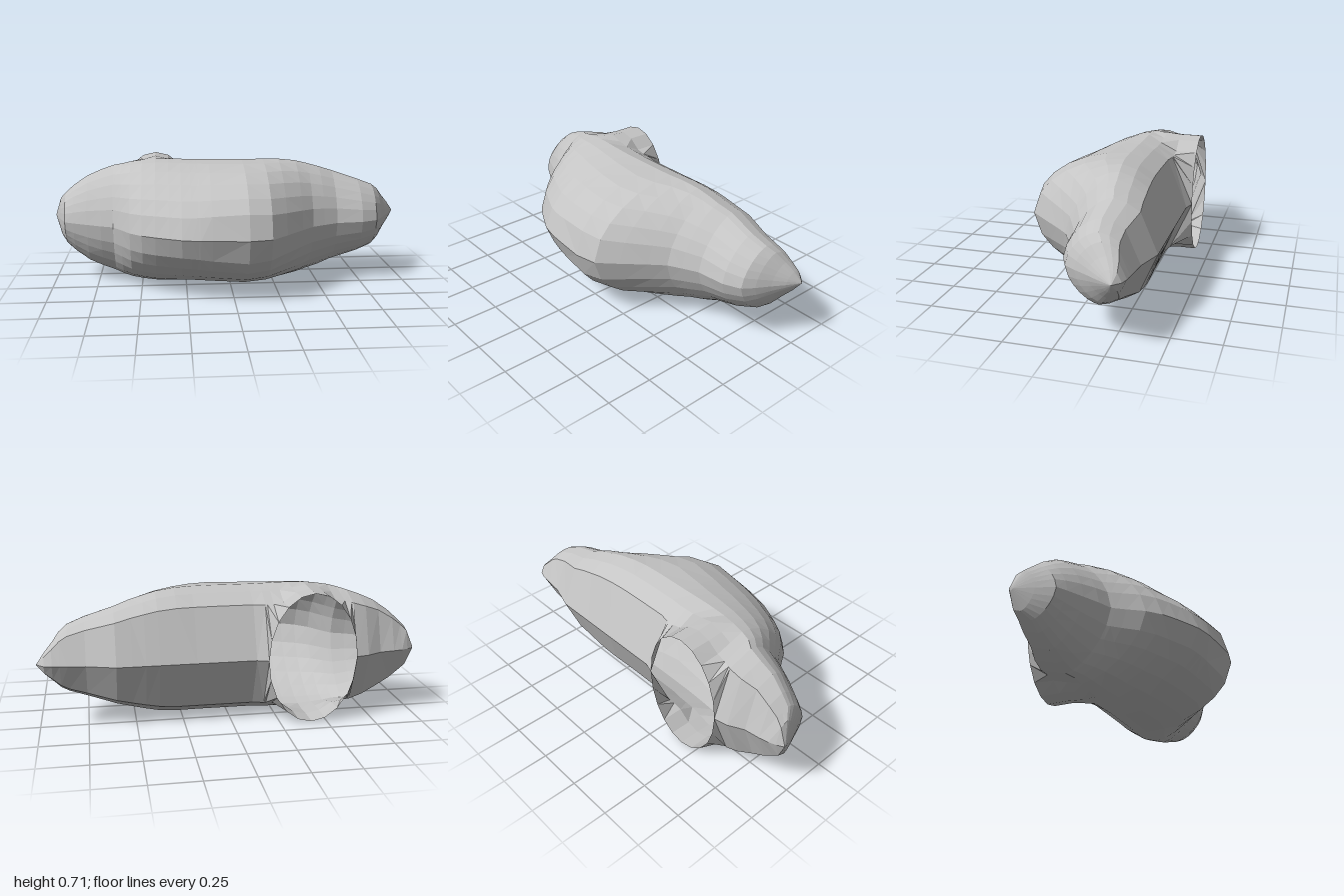
import * as THREE from 'three';

const MID = 0.357; // height of the symmetry plane

// Outline stations: [x, front z, back z, half height]
const STATIONS = [
  [-1, -0.29, -0.31, 0.01], [-0.965, -0.19, -0.328, 0.11], [-0.93, -0.096, -0.342, 0.15],
  [-0.88, -0.065, -0.353, 0.195], [-0.8, -0.022, -0.364, 0.25], [-0.72, 0.02, -0.405, 0.285],
  [-0.65, 0.05, -0.42, 0.31], [-0.6, 0.12, -0.42, 0.323], [-0.53, 0.23, -0.42, 0.34],
  [-0.4, 0.31, -0.42, 0.352], [-0.27, 0.374, -0.42, 0.349], [-0.18, 0.393, -0.42, 0.346],
  [-0.12, 0.4, -0.4, 0.345], [0.07, 0.417, -0.4, 0.345], [0.19, 0.393, -0.4, 0.344],
  [0.28, 0.3, -0.4, 0.342], [0.38, 0.192, -0.4, 0.33], [0.45, 0.121, -0.4, 0.312],
  [0.52, 0.083, -0.4, 0.292], [0.6, 0.043, -0.4, 0.265], [0.75, 0.027, -0.353, 0.215],
  [0.84, -0.012, -0.343, 0.18], [0.88, -0.07, -0.337, 0.15], [0.92, -0.14, -0.332, 0.1],
  [0.96, -0.205, -0.32, 0.055], [1, -0.28, -0.28, 0],
];
const HOLE = { x: -0.415, rx: 0.235, ry: 0.347 };

// Interpolated station at any x
function stationAt(x) {
  let i = 0;
  while (i < STATIONS.length - 2 && x > STATIONS[i + 1][0]) i++;
  const a = STATIONS[i], b = STATIONS[i + 1];
  const t = (x - a[0]) / (b[0] - a[0]);
  return a.map((v, k) => v + (b[k] - v) * t);
}

// Upper half of a cross-section, from the back edge to the front seam
function halfSection(x) {
  const [, zf, zb, h] = stationAt(x);
  const u = (x - HOLE.x) / HOLE.rx;
  const rim = HOLE.ry * Math.sqrt(Math.max(0, 1 - u * u));
  const zp = Math.min(-0.17 + 0.12 * zf, (zf + zb) / 2);
  const back = (t) => zp + (zb - zp) * t;
  const shoulder = x < HOLE.x ? 0.86 : 0.78; // the short lobe is fuller behind
  const pts = [
    [back(1), rim],
    [back(0.6), Math.max(shoulder * h, rim)],
    [back(0.3), Math.max(0.93 * h, rim * 1.02)],
  ];
  // Front quarter: round in the middle of the bulge, leaner towards both lobes,
  // ending in one steep facet so the seam stays creased
  const power = 2 / (1.6 + 0.4 * Math.exp(-(((x - 0.05) / 0.2) ** 2)));
  for (const f of [0, 0.15, 0.3, 0.45, 0.6, 0.75]) {
    const a = f * Math.PI / 2;
    pts.push([zp + (zf - zp) * Math.sin(a) ** power, h * Math.cos(a) ** power]);
  }
  pts.push([zf, 0]);
  return pts;
}

function shellGeometry() {
  // Evenly turned columns around the opening keep its rim round
  const xs = STATIONS.map((s) => s[0]).filter((x) => Math.abs(x - HOLE.x) > HOLE.rx + 0.001);
  for (let i = 0; i <= 10; i++) xs.push(HOLE.x - HOLE.rx * Math.cos(i / 10 * Math.PI));
  xs.sort((a, b) => a - b);

  const points = [], index = [];
  let ringSize = 0;
  for (const x of xs) {
    const top = halfSection(x);
    const bottom = top.slice(0, -1).reverse().map(([z, y]) => [z, -y]);
    const ring = [...top, ...bottom];
    ringSize = ring.length;
    for (const [z, y] of ring) points.push(new THREE.Vector3(x, MID + y, z));
  }
  // Join neighbouring rings, splitting each quad along its shorter diagonal
  for (let i = 0; i < xs.length - 1; i++) {
    for (let j = 0; j < ringSize - 1; j++) {
      const a = i * ringSize + j, b = a + ringSize;
      if (points[a + 1].distanceTo(points[b]) < points[a].distanceTo(points[b + 1])) {
        index.push(a, a + 1, b, a + 1, b + 1, b);
      } else {
        index.push(a, a + 1, b + 1, a, b + 1, b);
      }
    }
  }
  // Close the blunt end
  for (let j = 1; j < ringSize - 1; j++) index.push(0, j + 1, j);

  const geo = new THREE.BufferGeometry().setFromPoints(points);
  geo.setIndex(index);
  geo.computeVertexNormals();
  return geo;
}

export function createModel() {
  const group = new THREE.Group();
  group.name = 'hollowShell';
  const grey = new THREE.MeshStandardMaterial({
    color: 0xc4c4c4, flatShading: true, side: THREE.DoubleSide,
  });
  grey.name = 'grey';

  // Bulging shell with an oval opening in the back
  const shell = new THREE.Mesh(shellGeometry(), grey);
  shell.name = 'shell';
  group.add(shell);
  return group;
}
